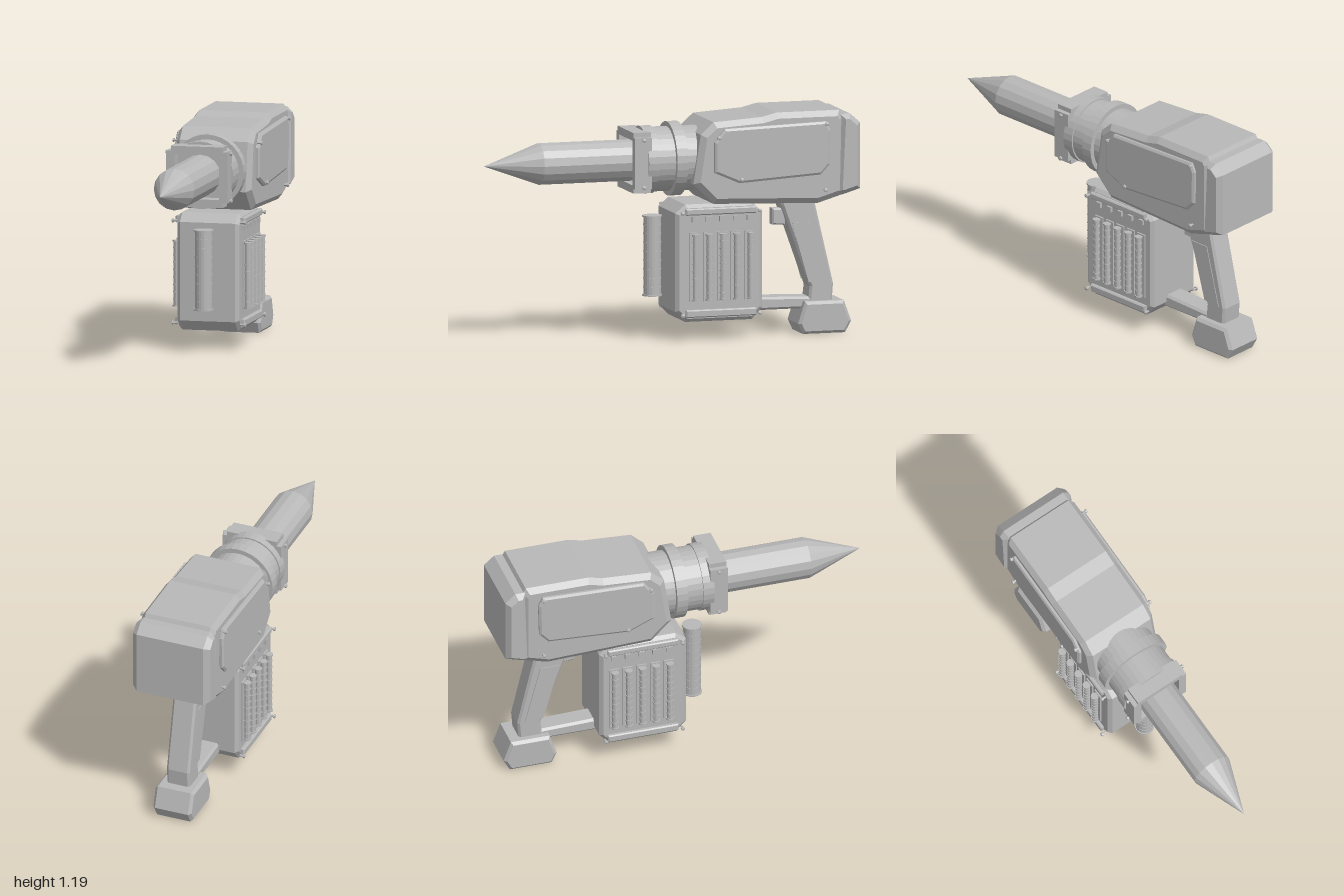
import * as THREE from 'three';

export function createModel() {
  const root = new THREE.Group();
  root.name = 'drillTool';
  const grey = new THREE.MeshStandardMaterial({ color: 0xb8b8b8, flatShading: true });
  grey.name = 'plain grey';

  const add = (name, geo, x = 0, y = 0, z = 0) => {
    const m = new THREE.Mesh(geo, grey);
    m.name = name;
    m.position.set(x, y, z);
    root.add(m);
    return m;
  };
  const vecs = pts => pts.map(p => new THREE.Vector2(p[0], p[1]));

  // Side profile given as [distance to the rear, height], extruded across x with chamfered sides
  const slab = (name, pts, half, thick, inset, cx = 0) => {
    const g = new THREE.ExtrudeGeometry(new THREE.Shape(vecs(pts)), {
      depth: 2 * (half - thick), bevelEnabled: thick > 0, bevelThickness: thick,
      bevelSize: inset, bevelOffset: -inset, bevelSegments: 1,
    });
    g.translate(0, 0, -(half - thick));
    g.rotateY(Math.PI / 2);
    return add(name, g, cx);
  };
  const box = (name, w, h, d, x, y, z) => add(name, new THREE.BoxGeometry(w, h, d), x, y, z);

  // Bolt lying along x: a short shank with a wider head
  const bolt = (s, x, y, z) => {
    const pts = [[0, -0.02], [0.006, -0.02], [0.006, 0], [0.011, 0], [0.011, 0.008], [0, 0.012]];
    const g = new THREE.LatheGeometry(vecs(pts), 8);
    g.rotateZ(-s * Math.PI / 2);
    add('bolt', g, s * x, y, z);
  };

  // Upright ribbed cylinder with caps
  const ribbed = (name, r, rib, y0, y1, n, cap, x, z, sides) => {
    const p = [[0, y0], [cap, y0], [cap, y0 + 0.008]];
    const step = (y1 - y0) / n;
    for (let i = 1; i < n; i++) {
      const y = y0 + i * step;
      p.push([r, y - 0.004 - (i === 1 ? step - 0.012 : 0)]);
      p.push([r, y - 0.003], [rib, y - 0.003], [rib, y + 0.003], [r, y + 0.003]);
    }
    p.push([r, y1 - 0.008], [cap, y1 - 0.008], [cap, y1], [0, y1]);
    add(name, new THREE.LatheGeometry(vecs(p), sides), x, 0, z);
  };

  // Pointed bit and stepped collar along z
  const axisY = 0.946;
  const alongZ = (name, pts, sides) =>
    add(name, new THREE.LatheGeometry(vecs(pts), sides).rotateX(Math.PI / 2), 0, axisY, 0);
  alongZ('bit', [[0, 0], [0.11, 0], [0.11, 0.7], [0, 1]], 16);
  alongZ('collar', [[0, -0.3], [0.17, -0.3], [0.17, -0.06], [0.195, -0.06], [0.195, 0],
    [0.17, 0], [0.17, 0.09], [0.178, 0.09], [0.178, 0.15], [0, 0.15]], 32);

  // Square muzzle frame with notched corners
  const a = 0.14, b = 0.165, c = 0.135, d = 0.16;
  const frame = new THREE.Shape(vecs([[-a, -d], [a, -d], [a, -c], [b, -c], [b, c], [a, c],
    [a, d], [-a, d], [-a, c], [-b, c], [-b, -c], [-a, -c]]));
  frame.holes.push(new THREE.Path(vecs([[-0.12, -0.118], [-0.12, 0.118], [0.12, 0.118], [0.12, -0.118]])));
  add('muzzleFrame', new THREE.ExtrudeGeometry(frame, { depth: 0.095, bevelEnabled: false }), 0, 0.948, 0.13);

  // Main housing and rear cap
  slab('housing', [[0.09, 0.83], [0.13, 1.09], [0.2, 1.153], [0.464, 1.17], [0.544, 1.19],
    [0.887, 1.19], [0.91, 1.15], [0.91, 0.745], [0.77, 0.703], [0.2, 0.722]], 0.208, 0.025, 0.03);
  slab('rearCap', [[0.87, 0.755], [0.89, 1.168], [0.945, 1.168], [1, 1.12], [1, 0.772], [0.9, 0.742]],
    0.218, 0.03, 0.025);

  // Battery block, with chamfered corners
  slab('block', [[0, 0.155], [0, 0.675], [0.055, 0.72], [0.42, 0.72], [0.475, 0.665],
    [0.475, 0.16], [0.42, 0.1], [0.055, 0.1]], 0.167, 0.018, 0.018);

  for (const s of [1, -1]) {
    // Raised side panel
    slab('sidePanel', [[0.195, 1.05], [0.25, 1.12], [0.805, 1.137], [0.828, 1.09], [0.823, 0.91],
      [0.775, 0.858], [0.33, 0.831], [0.195, 0.89]], 0.014, 0.008, 0.012, s * 0.216);
    bolt(s, 0.233, 1.125, -0.805);
    bolt(s, 0.233, 1.075, -0.215);
    bolt(s, 0.233, 0.85, -0.34);
    bolt(s, 0.225, 0.775, -0.8);
    bolt(s, 0.17, 1.07, 0.175);
    bolt(s, 0.17, 0.82, 0.175);

    // Trim strips on the block
    slab('topStrip', [[0.05, 0.665], [0.05, 0.7], [0.435, 0.7], [0.435, 0.665]], 0.013, 0.006, 0.006, s * 0.174);
    slab('bottomStrip', [[0.05, 0.125], [0.05, 0.165], [0.435, 0.165], [0.435, 0.125]], 0.013, 0.006, 0.006, s * 0.174);
    for (const z of [-0.03, -0.45]) {
      bolt(s, 0.19, 0.678, z);
      bolt(s, 0.19, 0.138, z);
    }

    // Ribbed cells, backing plates and small tabs
    for (let i = 0; i < 5; i++) {
      const z = -0.1 - i * 0.075;
      box('cellPlate', 0.012, 0.365, 0.054, s * 0.17, 0.39, z);
      ribbed('cell', 0.016, 0.019, 0.215, 0.565, 9, 0.021, s * 0.192, z, 12);
      box('tab', 0.02, 0.028, 0.03, s * 0.17, 0.642, z);
    }

    // Handle inset plate
    slab('gripPanel', [[0.665, 0.585], [0.77, 0.585], [0.855, 0.26], [0.755, 0.27]], 0.004, 0, 0, s * 0.065);
  }

  // Grip, trigger, lower strut and foot
  slab('grip', [[0.6, 0.74], [0.61, 0.68], [0.765, 0.245], [0.755, 0.15], [0.885, 0.15],
    [0.893, 0.257], [0.78, 0.74]], 0.065, 0.012, 0.012);
  slab('trigger', [[0.57, 0.575], [0.57, 0.66], [0.64, 0.66], [0.64, 0.57]], 0.03, 0.008, 0.008);
  slab('strut', [[0.45, 0.13], [0.45, 0.2], [0.79, 0.19], [0.79, 0.13]], 0.06, 0.012, 0.012);
  slab('foot', [[0.727, 0.17], [0.94, 0.17], [0.98, 0.06], [0.946, 0], [0.716, 0], [0.69, 0.055]],
    0.108, 0.015, 0.015);

  // Separate ribbed canister in front of the block
  ribbed('canister', 0.046, 0.048, 0.225, 0.65, 9, 0.052, 0, 0.08, 20);

  return root;
}
